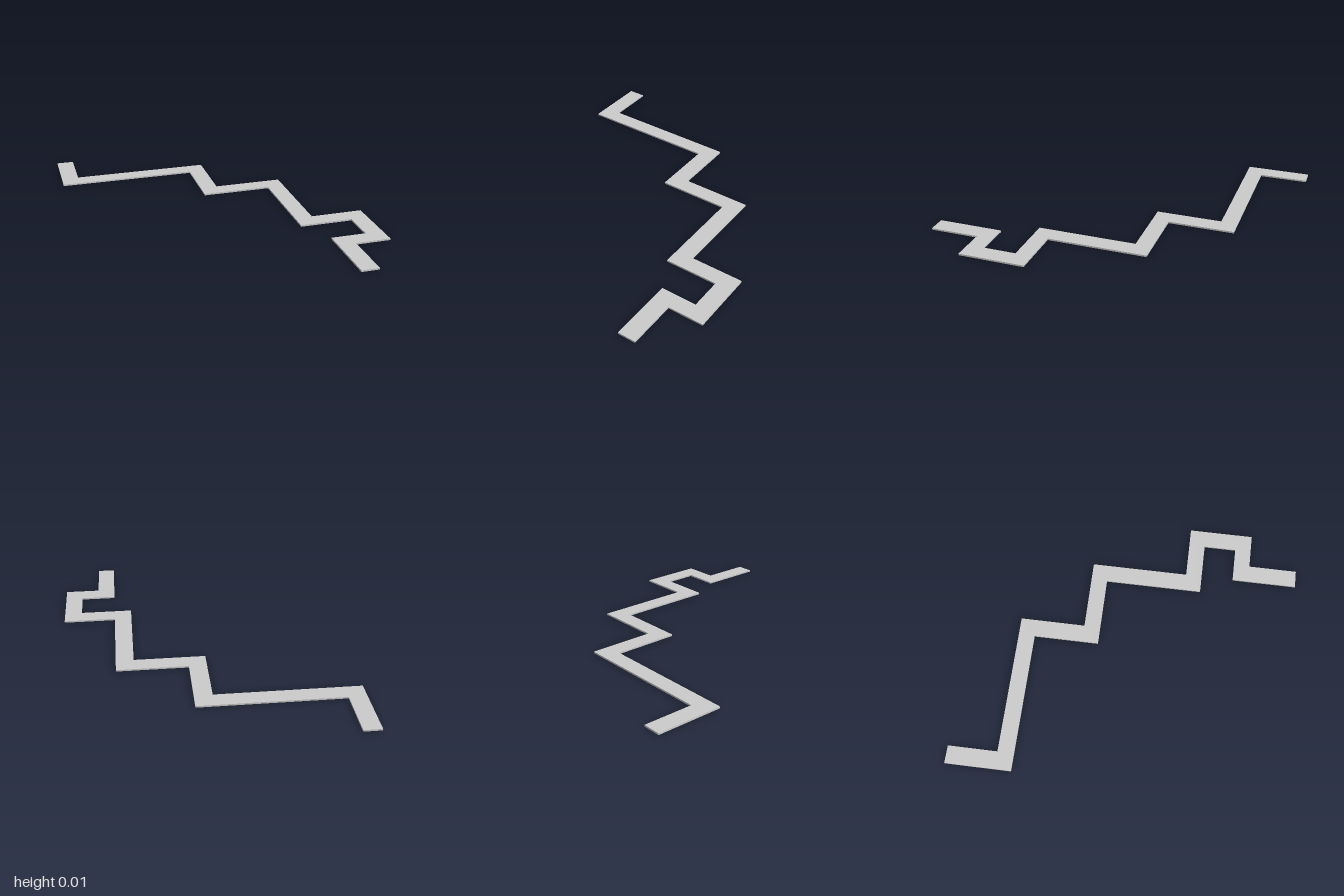
import * as THREE from 'three';

const CELL_X = 0.1075; // path width across x
const CELL_Z = 0.1;    // path width across z
const THICKNESS = 0.01;

// Outline corners of the zigzag path in grid cells: [x, z]
const OUTLINE = [
  [-8, -10], [-7, -10], [-7, -7], [1, -7], [1, -3], [5, -3], [5, 3], [8, 3],
  [8, 7], [6, 7], [6, 10], [5, 10], [5, 6], [7, 6], [7, 4], [4, 4],
  [4, -2], [0, -2], [0, -6], [-8, -6],
];

export function createModel() {
  const group = new THREE.Group();
  group.name = 'zigzagPath';

  // Flat slab: the outline is drawn upright, then laid on the ground
  const shape = new THREE.Shape(
    OUTLINE.map(([x, z]) => new THREE.Vector2(x * CELL_X, -z * CELL_Z))
  );
  const geometry = new THREE.ExtrudeGeometry(shape, { depth: THICKNESS, bevelEnabled: false });
  geometry.rotateX(-Math.PI / 2);

  const path = new THREE.Mesh(geometry, new THREE.MeshStandardMaterial({ color: 0xcccccc }));
  path.name = 'pathSlab';
  group.add(path);
  return group;
}
